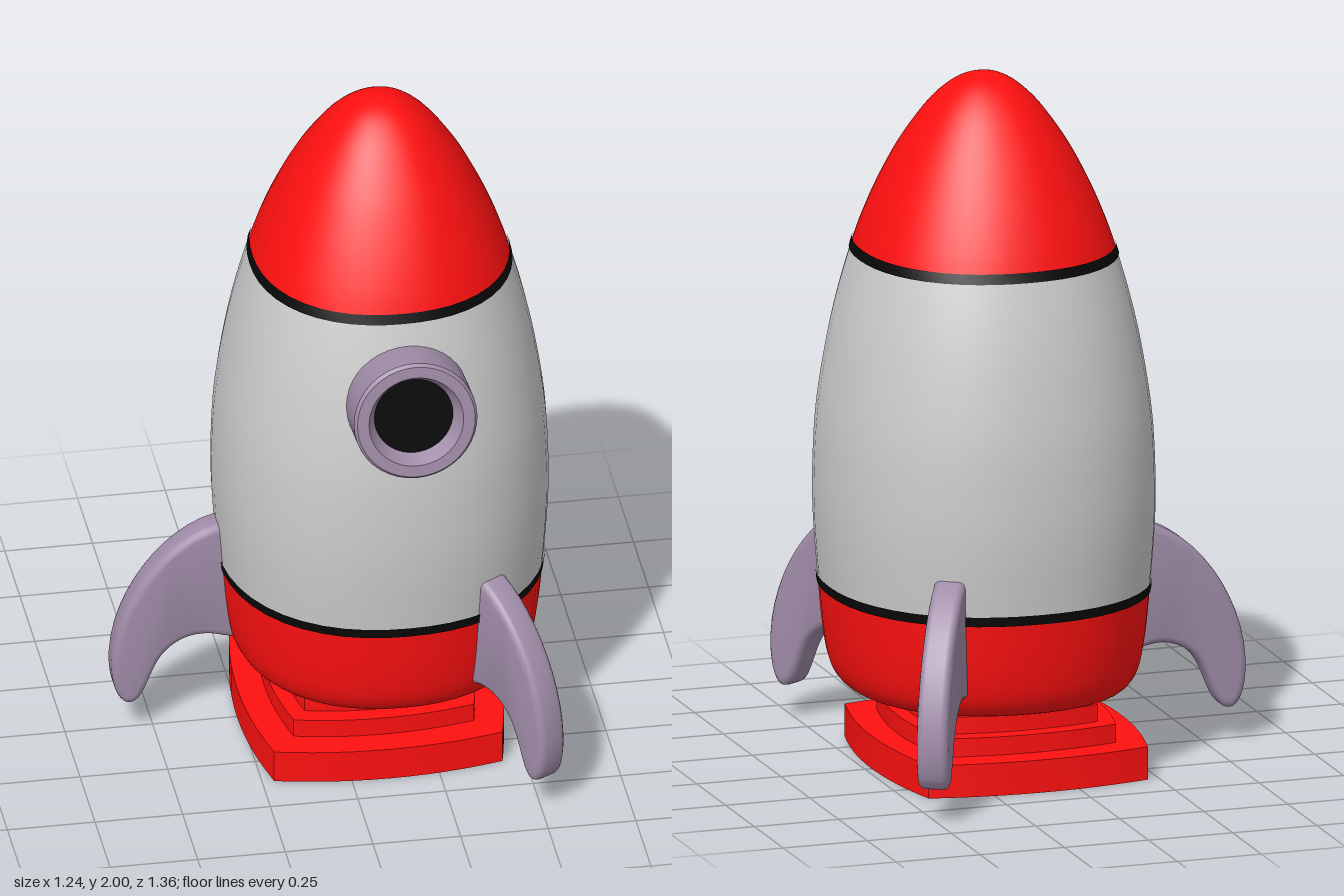
import * as THREE from 'three';
import { mergeVertices, toCreasedNormals } from 'three/addons/utils/BufferGeometryUtils.js';

const paint = (color) => new THREE.MeshStandardMaterial({ color });
const CENTRE = 0.147; // x of the rocket axis

// Body outline as (radius, height)
const outline = new THREE.SplineCurve([
  [0.37, 0.225], [0.42, 0.237], [0.455, 0.285], [0.475, 0.38], [0.49, 0.53], [0.503, 0.7], [0.505, 0.84],
  [0.495, 1.02], [0.467, 1.2], [0.433, 1.35], [0.388, 1.5], [0.35, 1.6], [0.303, 1.7], [0.246, 1.8],
  [0.172, 1.9], [0.108, 1.96], [0.053, 1.99], [0, 2],
].map(([r, y]) => new THREE.Vector2(r, y))).getPoints(90);

// Point on the outline at a given height
function outlineAt(y) {
  const i = Math.max(1, outline.findIndex((p) => p.y >= y));
  const a = outline[i - 1], b = outline[i];
  return a.clone().lerp(b, (y - a.y) / (b.y - a.y));
}

// Slice of the outline between two heights, pushed out by grow
function slice(y0, y1, grow = 0) {
  const inner = outline.filter((p) => p.y > y0 + 0.002 && p.y < y1 - 0.002);
  return [outlineAt(y0), ...inner, outlineAt(y1)].map((p) => new THREE.Vector2(Math.max(0, p.x + grow), p.y));
}

// Lathe whose round section is pressed into a slightly square oval
function hull(points) {
  const geo = new THREE.LatheGeometry(points, 48);
  const pos = geo.attributes.position;
  const n = 2.2;
  for (let i = 0; i < pos.count; i++) {
    const x = pos.getX(i), z = pos.getZ(i), r = Math.hypot(x, z);
    if (r < 1e-6) continue;
    const k = 1 / Math.pow(Math.abs(x / r) ** n + Math.abs(z / r) ** n, 1 / n);
    pos.setX(i, x * k * 0.932);
    pos.setZ(i, z * k);
  }
  geo.deleteAttribute('uv');
  geo.deleteAttribute('normal');
  const merged = mergeVertices(geo, 1e-5);
  merged.computeVertexNormals();
  return merged;
}

// Four-cornered plate with bulging sides
function plate(a, b, height) {
  const cx = a * 0.88, cz = b * 0.9;
  const s = new THREE.Shape();
  s.moveTo(cx, -cz);
  s.quadraticCurveTo(2 * a - cx, 0, cx, cz);
  s.quadraticCurveTo(0, 2 * b - cz, -cx, cz);
  s.quadraticCurveTo(cx - 2 * a, 0, -cx, -cz);
  s.quadraticCurveTo(0, cz - 2 * b, cx, -cz);
  const geo = new THREE.ExtrudeGeometry(s, { depth: height, bevelEnabled: false, curveSegments: 12 });
  return toCreasedNormals(geo.rotateX(-Math.PI / 2), 0.6);
}

// Swept-back fin drawn in the (radius, height) plane
function finGeometry() {
  const s = new THREE.Shape();
  s.moveTo(0.4, 0.28);
  s.lineTo(0.4, 0.64);
  s.lineTo(0.47, 0.655);
  s.bezierCurveTo(0.62, 0.62, 0.76, 0.42, 0.768, 0.24);
  s.bezierCurveTo(0.772, 0.17, 0.755, 0.1, 0.72, 0.097);
  s.bezierCurveTo(0.675, 0.095, 0.665, 0.19, 0.625, 0.245);
  s.bezierCurveTo(0.58, 0.3, 0.52, 0.315, 0.45, 0.29);
  s.closePath();
  const geo = new THREE.ExtrudeGeometry(s, {
    depth: 0.05, bevelThickness: 0.02, bevelSize: 0.02, bevelOffset: -0.02, bevelSegments: 3, curveSegments: 12,
  });
  return toCreasedNormals(geo.translate(0, 0, -0.025), 0.7);
}

export function createModel() {
  const model = new THREE.Group();
  const red = paint(0xff1010), grey = paint(0xcccccc), black = paint(0x080808), mauve = paint(0xa08ca8);

  const add = (parent, name, geo, mat) => {
    const mesh = new THREE.Mesh(geo, mat);
    mesh.name = name;
    parent.add(mesh);
    return mesh;
  };

  // Rocket body
  const body = new THREE.Group();
  body.name = 'body';
  body.position.x = CENTRE;
  model.add(body);
  const floor = [new THREE.Vector2(0, 0.225), new THREE.Vector2(0.3, 0.225)];
  add(body, 'lowerHull', hull([...floor, ...slice(0.225, 0.525)]), red);
  add(body, 'middleHull', hull(slice(0.525, 1.495)), grey);
  add(body, 'noseCone', hull(slice(1.495, 2)), red);
  add(body, 'lowerBand', hull(slice(0.513, 0.541, 0.004)), black);
  add(body, 'upperBand', hull(slice(1.482, 1.51, 0.004)), black);

  // Three fins, one pointing to -x
  const fin = finGeometry();
  for (let i = 0; i < 3; i++) {
    add(body, 'fin' + (i + 1), fin, mauve).rotation.y = Math.PI + (i * Math.PI * 2) / 3;
  }

  // Porthole, tilted slightly upward
  const porthole = new THREE.Group();
  porthole.name = 'porthole';
  porthole.position.set(0.155, 1.26, 0.567);
  porthole.rotation.x = Math.PI / 2 - 0.127;
  model.add(porthole);
  const rim = [[0.176, -0.22], [0.176, -0.01], [0.168, 0], [0.135, 0], [0.11, -0.05]]
    .map(([r, y]) => new THREE.Vector2(r, y));
  add(porthole, 'portholeRim', toCreasedNormals(new THREE.LatheGeometry(rim, 40), 0.6), mauve);
  add(porthole, 'portholeGlass', new THREE.CircleGeometry(0.114, 40).rotateX(-Math.PI / 2).translate(0, -0.045, 0), black);

  // Stepped base: half width, half depth, bottom, top
  [
    [0.37, 0.405, 0, 0.095],
    [0.292, 0.32, 0.09, 0.148],
    [0.248, 0.27, 0.14, 0.197],
    [0.198, 0.215, 0.19, 0.24],
  ].forEach(([a, b, y0, y1], i) => {
    add(model, 'baseStep' + (i + 1), plate(a, b, y1 - y0), red).position.set(0.11, y0, 0);
  });

  return model;
}
